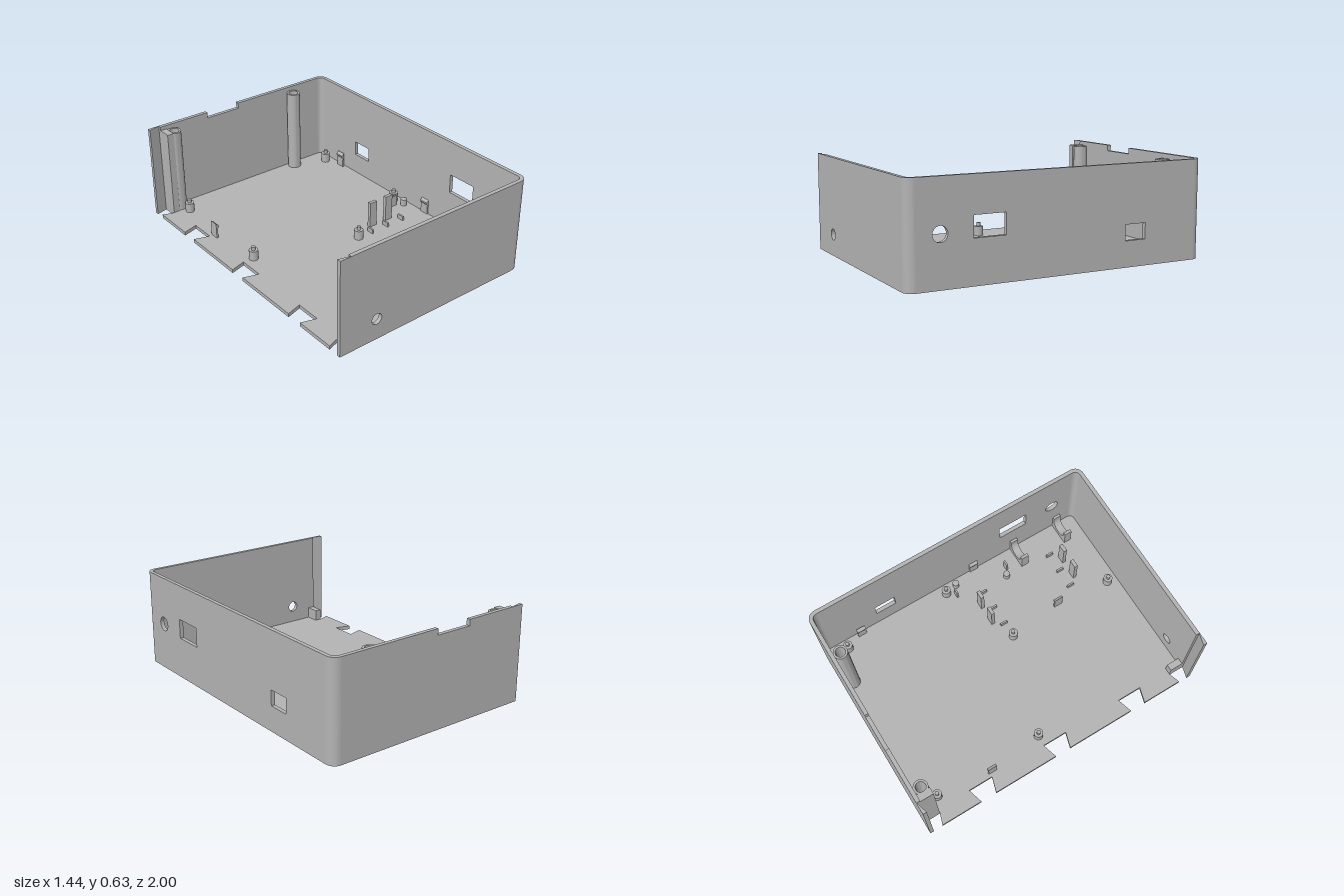
import * as THREE from 'three';
import { toCreasedNormals } from 'three/addons/utils/BufferGeometryUtils.js';

export function createModel() {
  const model = new THREE.Group();
  model.name = 'enclosureBase';
  const grey = new THREE.MeshStandardMaterial({ color: 0xb3b3b3 });
  grey.name = 'greyPlastic';

  const X0 = -0.722, X1 = 0.722, Z = 1, H = 0.635, T = 0.026, R = 0.06, FLOOR = 0.025;

  const add = (name, geometry, x = 0, y = 0, z = 0) => {
    const mesh = new THREE.Mesh(geometry, grey);
    mesh.name = name;
    mesh.position.set(x, y, z);
    model.add(mesh);
    return mesh;
  };
  const polygon = (pts) => new THREE.Shape(pts.map(([x, y]) => new THREE.Vector2(x, y)));
  const extrude = (shape, depth) => toCreasedNormals(
    new THREE.ExtrudeGeometry(shape, { depth, bevelEnabled: false, curveSegments: 16 }), 0.5);
  // Plan outline given as (x, -z), raised along y
  const raise = (shape, height) => extrude(shape, height).rotateX(-Math.PI / 2);
  const roundHole = (x, y, r) => new THREE.Path().absarc(x, y, r, 0, Math.PI * 2, true);
  const rectHole = (x0, x1, y0, y1) => new THREE.Path(
    [[x0, y0], [x0, y1], [x1, y1], [x1, y0]].map(([x, y]) => new THREE.Vector2(x, y)));
  // Box from x, z ranges, standing at y0 with top y1
  const block = (name, x0, x1, z0, z1, y1, y0 = FLOOR) => add(name,
    new THREE.BoxGeometry(x1 - x0, y1 - y0, z1 - z0), (x0 + x1) / 2, (y0 + y1) / 2, (z0 + z1) / 2);

  // Floor with dovetail sockets along the open edge
  const inner = R - T, fx = X1 - T, fz = Z - T, notchX = -0.62, endX = -0.645;
  const floor = new THREE.Shape();
  floor.moveTo(endX, -fz);
  floor.lineTo(X1 - R, -fz);
  floor.absarc(X1 - R, -(Z - R), inner, -Math.PI / 2, 0, false);
  floor.lineTo(fx, Z - R);
  floor.absarc(X1 - R, Z - R, inner, 0, Math.PI / 2, false);
  floor.lineTo(endX, fz);
  floor.lineTo(endX, 0.885);
  floor.lineTo(X0, 0.91);
  for (const c of [0.567, 0.004, -0.58]) {
    floor.lineTo(X0, c + 0.055);
    floor.lineTo(notchX, c + 0.085);
    floor.lineTo(notchX, c - 0.085);
    floor.lineTo(X0, c - 0.055);
  }
  floor.lineTo(X0, -0.91);
  floor.lineTo(endX, -0.885);
  add('floor', raise(floor, FLOOR));

  // Front wall with cable hole
  const front = polygon([[endX, 0], [X1 - R, 0], [X1 - R, H], [endX, H]]);
  front.holes.push(roundHole(-0.455, 0.14, 0.036));
  add('frontWall', extrude(front, T), 0, 0, Z - T);

  // Back wall with a shallow cut in its rim
  const back = polygon([[endX, 0], [X1 - R, 0], [X1 - R, H], [-0.03, H], [-0.03, H - 0.04],
    [-0.28, H - 0.04], [-0.28, H], [endX, H]]);
  add('backWall', extrude(back, T), 0, 0, -Z);

  // Side wall with round and rectangular ports, drawn in (-z, y)
  const side = polygon([[-(Z - R), 0], [Z - R, 0], [Z - R, H], [-(Z - R), H]]);
  side.holes.push(roundHole(-0.795, 0.315, 0.047),
    rectHole(-0.59, -0.385, 0.275, 0.405), rectHole(0.43, 0.575, 0.165, 0.265));
  add('sideWall', extrude(side, T).rotateY(Math.PI / 2), X1 - T);

  // Rounded corners and tapered wall ends
  for (const s of [1, -1]) {
    const corner = new THREE.Shape();
    const a = s > 0 ? 0 : -Math.PI / 2;
    corner.absarc(X1 - R, s * (Z - R), R, a, a + Math.PI / 2, false);
    corner.absarc(X1 - R, s * (Z - R), inner, a + Math.PI / 2, a, true);
    add('roundedCorner', raise(corner, H));
    add('wallEnd', raise(polygon([[X0, s * Z], [X0, s * (Z - T)], [endX, s * (Z - 0.005)], [endX, s * Z]]), H));
  }

  // Stops behind the end sockets: tall at the back, low at the front
  block('backEndPost', endX, -0.6, -fz, -0.885, 0.61);
  block('frontEndStop', endX, -0.6, 0.885, fz, 0.1);

  // Tall hollow screw posts
  const tube = (r, hole, h) => {
    const ring = new THREE.Shape().absarc(0, 0, r, 0, Math.PI * 2, false);
    ring.holes.push(roundHole(0, 0, hole));
    return raise(ring, h);
  };
  for (const x of [-0.57, 0.41]) add('screwPost', tube(0.046, 0.032, 0.605 - FLOOR), x, FLOOR, -0.93);

  // Board standoffs with locating pins
  for (const [x, z] of [[-0.545, -0.842], [0.632, -0.842], [-0.545, -0.083], [0.632, -0.083], [0.13, 0.143], [0.13, 0.903]]) {
    add('standoff', new THREE.CylinderGeometry(0.03, 0.03, 0.065, 24), x, FLOOR + 0.0325, z);
    add('standoffPin', new THREE.CylinderGeometry(0.013, 0.013, 0.025, 16), x, FLOOR + 0.0775, z);
  }

  // Small support pegs
  for (const [x, z] of [[0.65, 0.003], [0.528, 0.336]])
    add('supportPeg', new THREE.CylinderGeometry(0.022, 0.022, 0.045, 20), x, FLOOR + 0.0225, z);

  // Hooked board clips; s is the direction of the hook
  const clip = (x, z, s, w = 0.062) => {
    const p = [[-0.01, 0], [0.002, 0], [0.002, 0.07], [0.01, 0.08], [0.01, 0.09], [-0.01, 0.105]];
    const pts = p.map(([u, v]) => [u * s, v]);
    add('boardClip', extrude(polygon(pts), w), x, FLOOR, z - w / 2);
  };
  clip(-0.587, -0.46, 1);
  clip(0.67, -0.715, -1);
  clip(0.17, 0.523, 1);
  clip(0.688, 0.168, -1);

  // Tall guide tabs and low ribs for the module bay
  for (const z of [0.075, 0.73])
    for (const x of [0.303, 0.438]) block('guideTab', x - 0.028, x + 0.028, z - 0.012, z + 0.012, 0.205);
  for (const z of [0.135, 0.67])
    for (const x of [0.238, 0.371, 0.505]) block('lowRib', x - 0.006, x + 0.006, z - 0.025, z + 0.025, 0.055);

  // Thin upright tabs beside the pegs
  for (const z of [-0.03, 0.365]) block('thinTab', 0.567, 0.608, z - 0.006, z + 0.006, 0.1);

  // U-shaped cradles
  for (const z of [0.49, 0.838]) {
    const u = polygon([[0.535, 0], [0.692, 0], [0.692, 0.12], [0.675, 0.12]]);
    u.absarc(0.615, 0.095, 0.06, 0.1, Math.PI - 0.1, true);
    u.lineTo(0.555, 0.12);
    u.lineTo(0.535, 0.12);
    add('cradle', extrude(u, 0.052), 0, FLOOR, z - 0.026);
  }

  return model;
}
